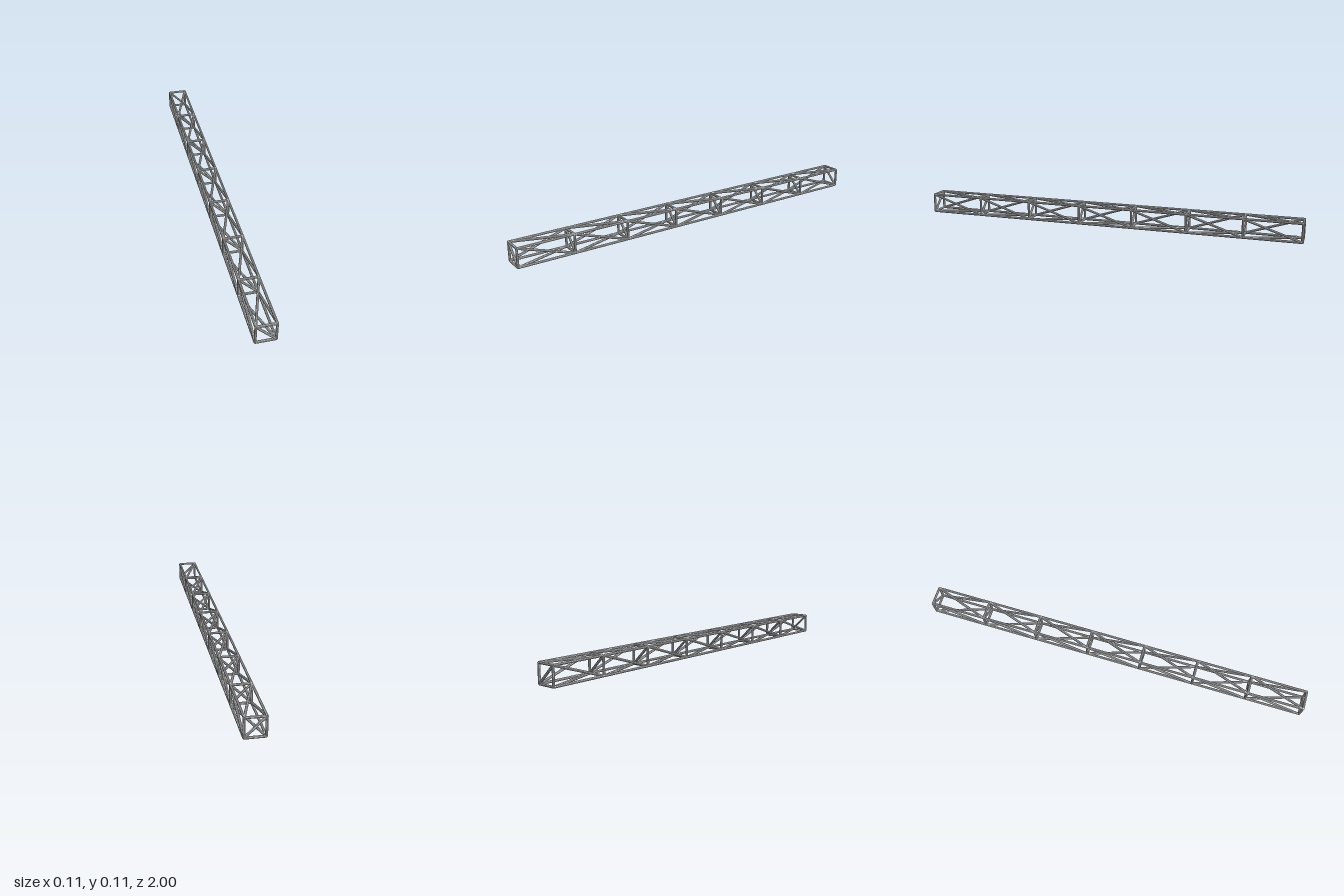
import * as THREE from 'three';

const R = 0.0063;          // bar radius
const HALF = 0.0467;       // half spacing of the chords
const CY = HALF + R;       // height of the truss axis
const END = 1 - R;         // z of the end frames
const BAYS = 7;

const material = new THREE.MeshStandardMaterial({ color: 0xcccccc, flatShading: true });

// Straight bar between two points
function bar(name, a, b) {
  const dir = new THREE.Vector3().subVectors(b, a);
  const mesh = new THREE.Mesh(new THREE.CylinderGeometry(R, R, dir.length(), 8), material);
  mesh.name = name;
  mesh.position.addVectors(a, b).multiplyScalar(0.5);
  mesh.quaternion.setFromUnitVectors(new THREE.Vector3(0, 1, 0), dir.normalize());
  return mesh;
}

// Corners in order: top left, top right, bottom right, bottom left
const corners = [[1, 1], [-1, 1], [-1, -1], [1, -1]];
const node = (corner, frame) => {
  const [x, y] = corners[corner % 4];
  return new THREE.Vector3(x * HALF, CY + y * HALF, END - (2 * END * frame) / BAYS);
};

export function createModel() {
  const truss = new THREE.Group();
  truss.name = 'boxTruss';

  // Long chords and the diagonals that wind round the four faces
  for (let c = 0; c < 4; c++) {
    for (let i = 0; i < BAYS; i++) {
      truss.add(bar('chord', node(c, i), node(c, i + 1)));
      truss.add(bar('faceDiagonal', node(c + 1, i), node(c, i + 1)));
    }
  }

  // Square cross frames, each braced corner to corner
  for (let i = 0; i <= BAYS; i++) {
    const frame = new THREE.Group();
    frame.name = 'crossFrame';
    for (let c = 0; c < 4; c++) frame.add(bar(c % 2 ? 'post' : 'crossbar', node(c, i), node(c + 1, i)));
    frame.add(bar('frameBrace', node(1, i), node(3, i)));
    truss.add(frame);
  }
  return truss;
}
